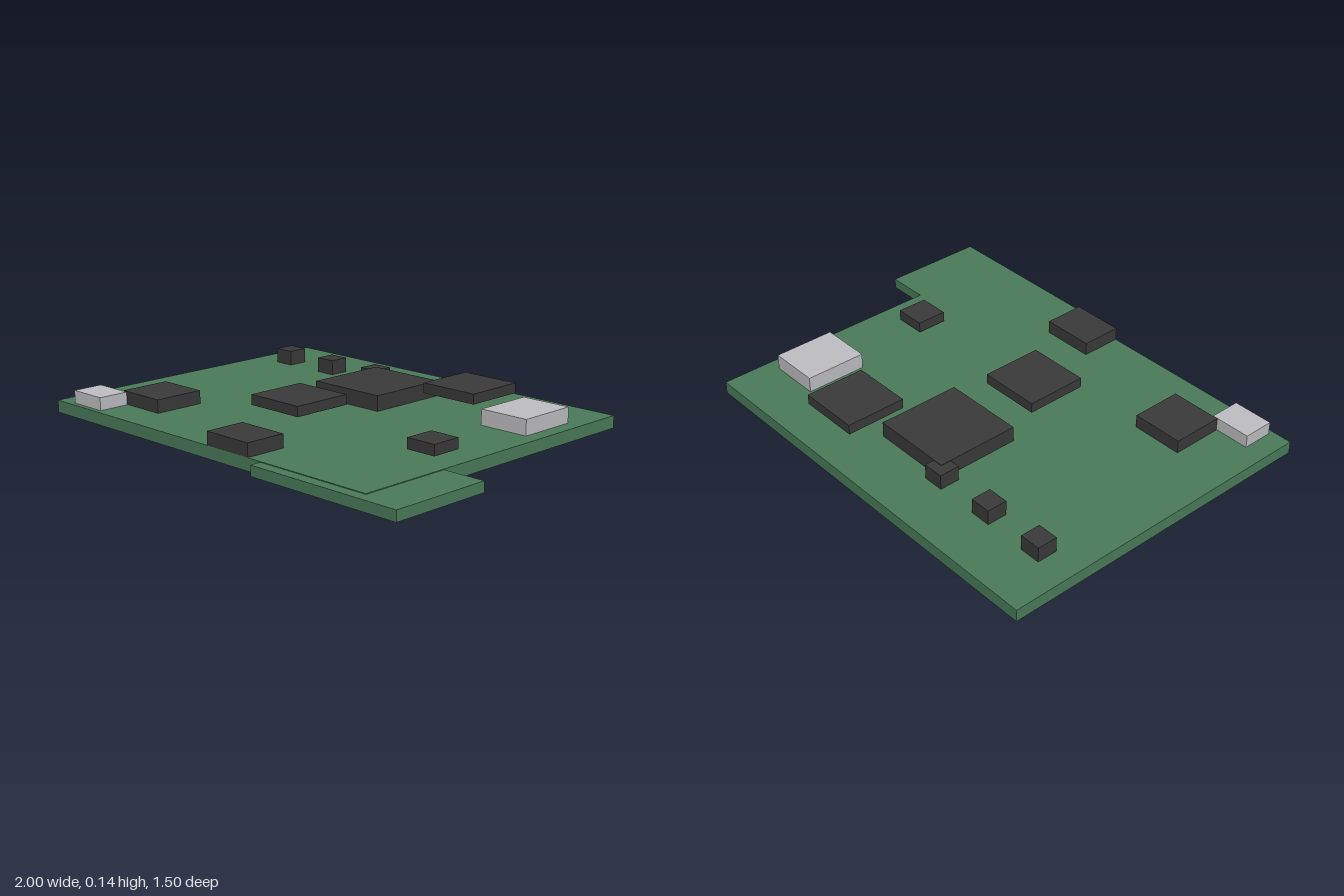
import * as THREE from 'three';

export function createModel() {
  const group = new THREE.Group();
  group.name = 'circuitBoard';

  const material = (name, color) => {
    const m = new THREE.MeshStandardMaterial({ color });
    m.name = name;
    return m;
  };
  const green = material('boardGreen', 0x4a7c59);
  const dark = material('chipDarkGrey', 0x3a3a3a);
  const silver = material('connectorSilver', 0xc0c0c4);

  // Box given by its [min, max] extents along each axis
  const block = (name, mat, [x0, x1], [y0, y1], [z0, z1]) => {
    const mesh = new THREE.Mesh(new THREE.BoxGeometry(x1 - x0, y1 - y0, z1 - z0), mat);
    mesh.position.set((x0 + x1) / 2, (y0 + y1) / 2, (z0 + z1) / 2);
    mesh.name = name;
    group.add(mesh);
  };

  // Board and the slightly thinner corner tab set into it
  const top = 0.053;
  block('mainBoard', green, [-1, 0.812], [0, top], [-0.75, 0.702]);
  block('cornerTab', green, [0.272, 1], [0.006, 0.05], [0.295, 0.75]);

  // Row of small components along the back
  [-0.82, -0.548, -0.275].forEach((x, i) =>
    block(`smallComponent${i + 1}`, dark, [x - 0.046, x + 0.046], [top, 0.118], [-0.526, -0.437]));

  // Chips resting on the board
  block('processorChip', dark, [-0.275, 0.087], [top, 0.12], [-0.484, -0.116]);
  block('leftChip', dark, [-0.755, -0.528], [top, 0.11], [0.315, 0.54]);
  block('frontChip', dark, [-0.027, 0.205], [top, 0.11], [0.522, 0.702]);

  // Raised chips
  block('backRaisedChip', dark, [0.133, 0.407], [0.099, 0.143], [-0.614, -0.345]);
  block('middleRaisedChip', dark, [-0.23, 0.043], [0.099, 0.143], [0.022, 0.294]);
  block('sideRaisedChip', dark, [0.565, 0.702], [0.062, 0.108], [0.09, 0.226]);

  // Metal connectors
  block('largeConnector', silver, [0.524, 0.75], [top, 0.12], [-0.524, -0.254]);
  block('smallConnector', silver, [-0.908, -0.73], [top, 0.108], [0.544, 0.68]);

  return group;
}
